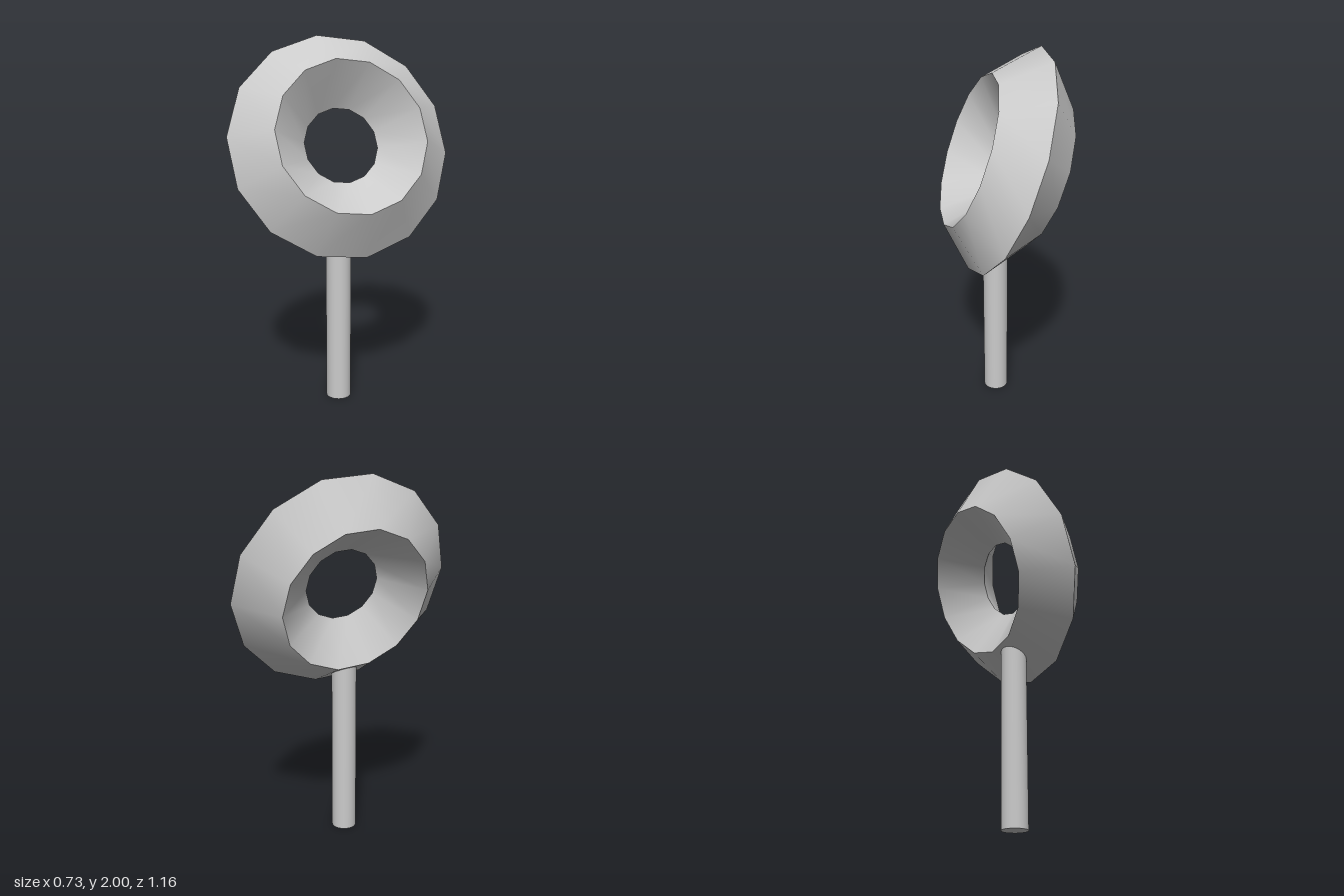
import * as THREE from 'three';
import { toCreasedNormals } from 'three/addons/utils/BufferGeometryUtils.js';

export function createModel() {
  const group = new THREE.Group();
  const material = new THREE.MeshStandardMaterial({ color: 0xcccccc });

  // Tilted ring: 14 segments around, diamond cross-section with sharp ridges
  const ring = new THREE.Mesh(
    toCreasedNormals(new THREE.TorusGeometry(0.411, 0.205, 4, 14), 1),
    material
  );
  ring.name = 'ring';
  const axis = new THREE.Vector3(0.18, 0.07, 0.055).normalize();
  const side = new THREE.Vector3().crossVectors(axis, new THREE.Vector3(-0.225, 0.575, 0.003)).normalize();
  const up = new THREE.Vector3().crossVectors(side, axis); // points at the topmost corner
  ring.quaternion.setFromRotationMatrix(new THREE.Matrix4().makeBasis(up, side, axis));
  ring.position.set(0, 1.425, 0);
  group.add(ring);

  // Round post, its top buried in the ring
  const height = 0.99;
  const post = new THREE.Mesh(new THREE.CylinderGeometry(0.069, 0.069, height, 32), material);
  post.name = 'post';
  post.position.set(0.03, height / 2, 0.042);
  group.add(post);

  return group;
}
